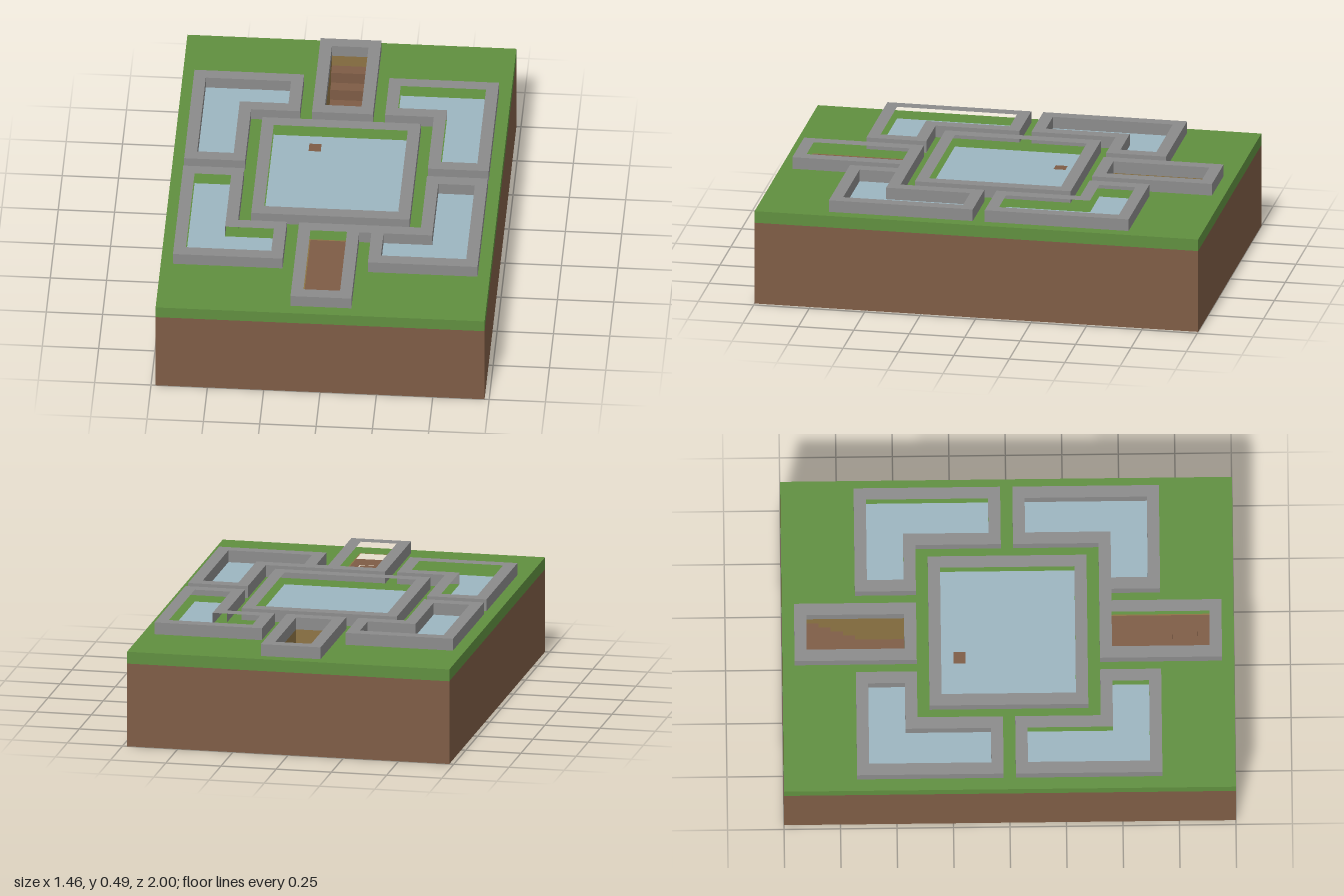
import * as THREE from 'three';

// The garden is laid out on a grid of square blocks, 27 wide, 37 deep and 9 high.
const U = 2 / 37;

const mat = (name, color) => {
  const m = new THREE.MeshStandardMaterial({ color });
  m.name = name;
  return m;
};

// Rectangle outline from x0..x1, z0..z1
const rect = (x0, x1, z0, z1) => [[x0, z0], [x1, z0], [x1, z1], [x0, z1]];

// L-shaped outline, mirrored into one quadrant; inset shrinks it evenly
const ell = (sx, sz, i) => [
  [3.5 + i, 12.5 - i], [12.5 - i, 12.5 - i], [12.5 - i, 0.5 + i],
  [7.5 + i, 0.5 + i], [7.5 + i, 7.5 + i], [3.5 + i, 7.5 + i],
].map(([x, z]) => [x * sx, z * sz]);

// Upright slab with the given plan outline and holes, from height y0 to y1
function slab(outline, holes, y0, y1) {
  const pts = (list) => list.map(([x, z]) => new THREE.Vector2(x * U, -z * U));
  const shape = new THREE.Shape(pts(outline));
  for (const h of holes) shape.holes.push(new THREE.Path(pts(h)));
  const g = new THREE.ExtrudeGeometry(shape, { depth: (y1 - y0) * U, bevelEnabled: false });
  g.rotateX(-Math.PI / 2);
  g.translate(0, y0 * U, 0);
  return g;
}

export function createModel() {
  const group = new THREE.Group();
  group.name = 'waterGarden';
  const soil = mat('soil', 0x7e5c45);
  const grass = mat('grass', 0x608f3f);
  const stone = mat('stone', 0x8b8b8b);
  const water = mat('water', 0x9cb5c0);
  const lining = mat('stairwellLining', 0x8d7444);

  const add = (name, geometry, material) => {
    const mesh = new THREE.Mesh(geometry, material);
    mesh.name = name;
    group.add(mesh);
  };

  const plot = rect(-13.5, 13.5, -18.5, 18.5);
  const basin = rect(-5.5, 5.5, -5.5, 5.5);
  const drain = rect(-2.5, -1.5, -4.5, -3.5);
  const quadrants = [[1, 1], [1, -1], [-1, 1], [-1, -1]];
  const wells = [1, -1].map((s) => rect(-1.6, 1.6, s * 8.4, s * 16.6));

  // Ground: solid base, hollowed soil, turf with openings for the pools
  add('soilBase', slab(plot, [], 0, 3), soil);
  add('soil', slab(plot, [...wells, drain], 3, 7), soil);
  add('turf', slab(plot, [...wells, basin, ...quadrants.map(([a, b]) => ell(a, b, 1))], 7, 8), grass);

  // Central basin with a small drain shaft
  add('basinWater', slab(basin, [drain], 7, 8), water);
  add('basinWall', slab(rect(-6.5, 6.5, -6.5, 6.5), [basin], 8, 9), stone);
  add('drainFloor', slab(drain, [], 3, 4), stone);

  // Four corner pools
  for (const [sx, sz] of quadrants) {
    add('cornerPoolWater', slab(ell(sx, sz, 1), [], 7, 8), water);
    add('cornerPoolWall', slab(ell(sx, sz, 0), [ell(sx, sz, 1)], 8, 9), stone);
  }

  // Stairwells, descending toward the basin
  for (const s of [1, -1]) {
    const inner = rect(-1.5, 1.5, s * 8.5, s * 16.5);
    add('stairwellWall', slab(rect(-2.5, 2.5, s * 7.5, s * 17.5), [inner], 8, 9), stone);
    add('stairwellLining', slab(rect(-1.6, 1.6, s * 8.4, s * 16.6), [inner], 3, 8), lining);
    for (let i = 0; i < 4; i++) {
      add('stairStep', slab(rect(-1.5, 1.5, s * (15.5 - i), s * (16.5 - i)), [], 3, 7 - i), soil);
    }
  }

  // Single block joining the front stairwell to a pool wall
  add('linkBlock', slab(rect(2.5, 3.5, 7.5, 8.5), [], 8, 9), stone);

  return group;
}
